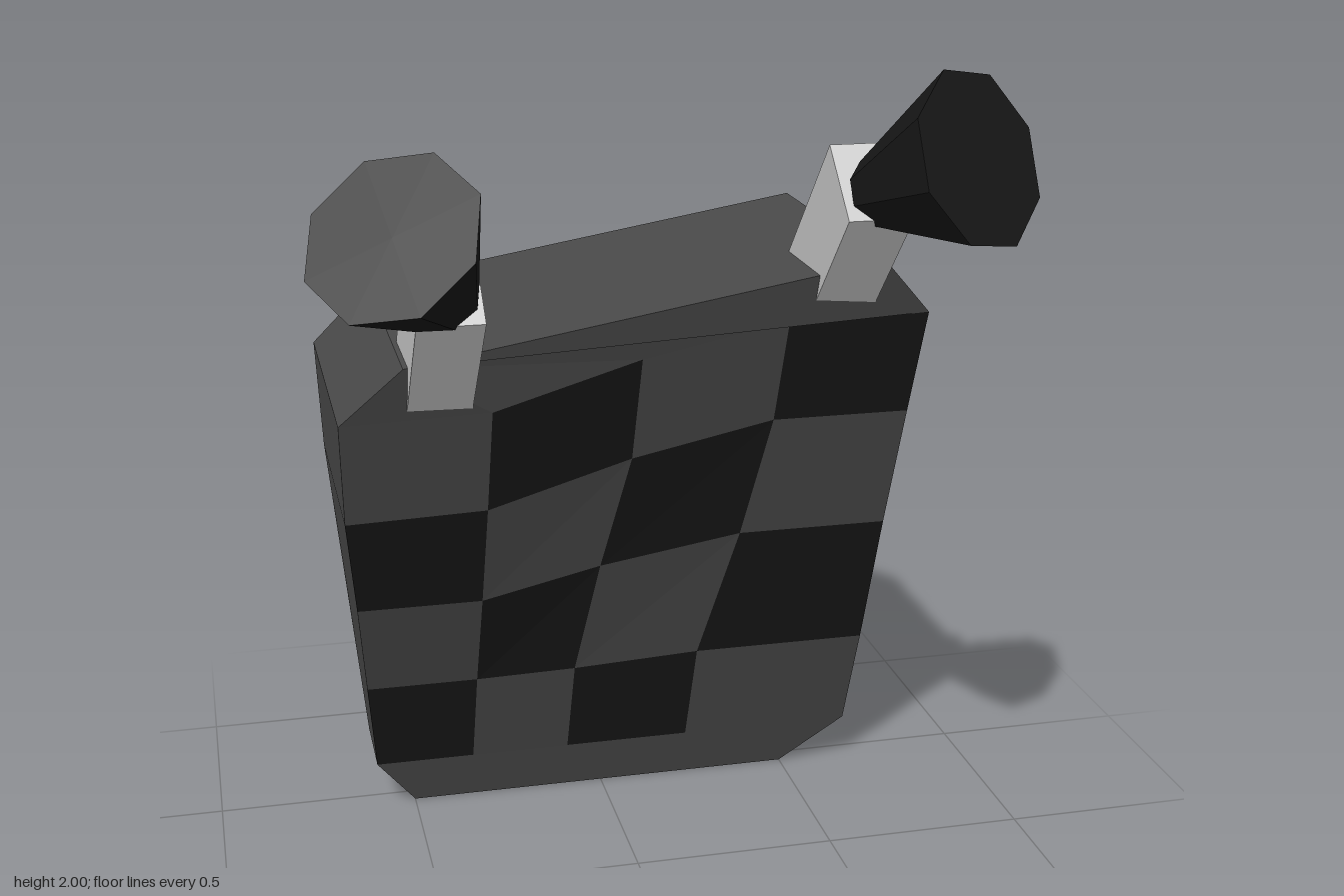
import * as THREE from 'three';

const material = (color) => new THREE.MeshStandardMaterial({ color, flatShading: true });

// Flat-shaded geometry from convex polygons, each given as a loop of [x, y, z] corners
function polygons(loops) {
  const positions = [];
  for (const loop of loops) {
    for (let i = 1; i < loop.length - 1; i++) positions.push(...loop[0], ...loop[i], ...loop[i + 1]);
  }
  const geometry = new THREE.BufferGeometry();
  geometry.setAttribute('position', new THREE.Float32BufferAttribute(positions, 3));
  geometry.computeVertexNormals();
  return geometry;
}

function addMesh(parent, name, geometry, mat) {
  const mesh = new THREE.Mesh(geometry, mat);
  mesh.name = name;
  parent.add(mesh);
  return mesh;
}

export function createModel() {
  const model = new THREE.Group();
  model.name = 'checkeredBody';
  const bodyMaterial = material(0x494949);
  const darkMaterial = material(0x171717);
  const greyMaterial = material(0xcccccc);

  // Sloping front panel: rows of [x, y] from bottom to top, one depth per row
  const depths = [-0.4, -0.285, -0.15, -0.02, 0.09];
  const grid = [
    [[-0.6, 0.14], [-0.35, 0.14], [-0.1, 0.14], [0.22, 0.14], [0.66, 0.14]],
    [[-0.625, 0.41], [-0.35, 0.41], [-0.1, 0.415], [0.22, 0.43], [0.66, 0.43]],
    [[-0.65, 0.68], [-0.35, 0.68], [-0.06, 0.745], [0.29, 0.8], [0.66, 0.8]],
    [[-0.678, 0.95], [-0.35, 0.96], [-0.01, 1.06], [0.33, 1.13], [0.66, 1.13]],
    [[-0.69, 1.22], [-0.35, 1.23], [-0.01, 1.33], [0.33, 1.4], [0.66, 1.4]],
  ].map((row, r) => row.map(([x, y]) => [x, y, depths[r]]));
  const bottomEdge = [[-0.5, 0, -0.455], [0.5, 0, -0.455]];
  const topEdge = [[0.53, 1.54, 0.15], [-0.55, 1.36, 0.15]];

  // Checker cells, alternating between the two tones
  const plain = [];
  const dark = [];
  for (let r = 0; r < 4; r++) {
    for (let c = 0; c < 4; c++) {
      const cell = [grid[r][c], grid[r][c + 1], grid[r + 1][c + 1], grid[r + 1][c]];
      ((r + c) % 2 === 0 ? dark : plain).push(cell);
    }
  }
  addMesh(model, 'darkChecks', polygons(dark), darkMaterial);

  // Borders below and above the checks
  plain.push([...bottomEdge, ...[...grid[0]].reverse()]);
  plain.push([topEdge[1], ...grid[4], topEdge[0]]);

  // Side walls run straight back from the front rim to a flat back
  const rim = [
    ...bottomEdge,
    ...grid.map((row) => row[4]),
    ...topEdge,
    ...[...grid].reverse().map((row) => row[0]),
  ];
  const back = rim.map(([x, y]) => [x, y, -0.61]);
  rim.forEach((a, i) => {
    const j = (i + 1) % rim.length;
    plain.push([a, back[i], back[j], rim[j]]);
  });
  plain.push([...back].reverse());
  addMesh(model, 'body', polygons(plain), bodyMaterial);

  // Tilted stalks, each carrying a flared eye
  const eyes = [
    { side: 'left', stalkEnd: [0.45, 1.742, 0.26], rim: [0.6, 1.825, 0.485], axis: [0.5, 0.38, 0.78] },
    { side: 'right', stalkEnd: [-0.467, 1.567, 0.26], rim: [-0.59, 1.71, 0.43], axis: [-0.44, 0.63, 0.64] },
  ];
  const stalkLength = 0.48;
  const eyeLength = 0.29;
  for (const { side, stalkEnd, rim: rimCentre, axis } of eyes) {
    const stalkGeometry = new THREE.BoxGeometry(0.145, stalkLength, 0.2);
    stalkGeometry.translate(0, -stalkLength / 2, 0);
    const stalk = addMesh(model, side + 'Stalk', stalkGeometry, greyMaterial);
    stalk.position.set(...stalkEnd);
    stalk.rotation.x = 0.75;

    const eyeGeometry = new THREE.CylinderGeometry(0.195, 0.075, eyeLength, 8);
    eyeGeometry.translate(0, -eyeLength / 2, 0);
    const eye = addMesh(model, side + 'Eye', eyeGeometry, darkMaterial);
    eye.position.set(...rimCentre);
    eye.quaternion.setFromUnitVectors(new THREE.Vector3(0, 1, 0), new THREE.Vector3(...axis).normalize());
  }

  return model;
}
